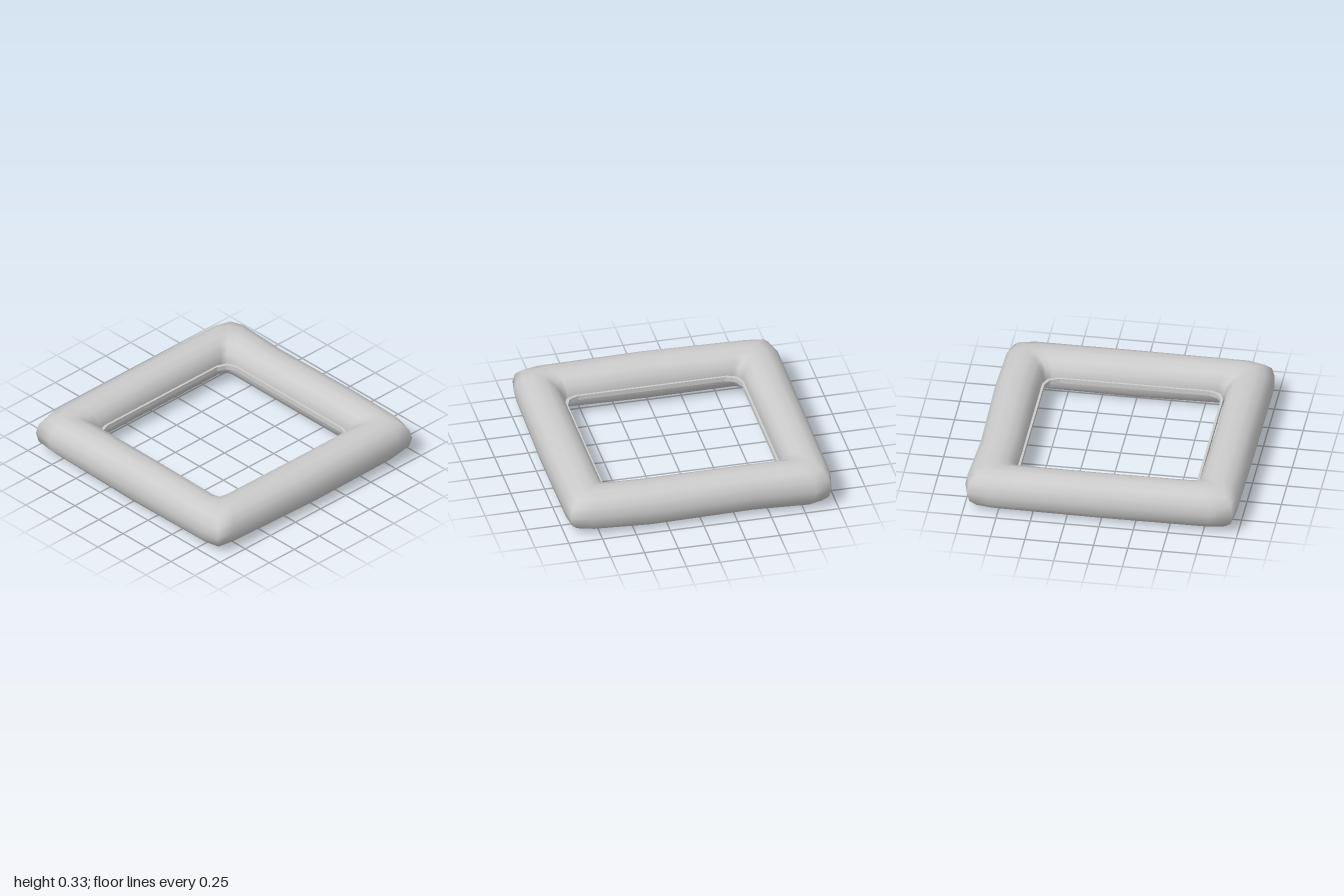
import * as THREE from 'three';

const material = new THREE.MeshStandardMaterial({ color: 0xcccccc });

// Skins a closed loop of closed cross-sections; each section is a list of [x, y, z].
function closedLoop(sections, flat) {
  const n = sections.length, m = sections[0].length;
  const index = [];
  for (let i = 0; i < n; i++) {
    for (let j = 0; j < m; j++) {
      const a = i * m + j, b = i * m + (j + 1) % m;
      const c = ((i + 1) % n) * m + j, d = ((i + 1) % n) * m + (j + 1) % m;
      index.push(a, b, c, b, d, c);
    }
  }
  let geometry = new THREE.BufferGeometry();
  geometry.setAttribute('position', new THREE.Float32BufferAttribute(sections.flat(2), 3));
  geometry.setIndex(index);
  if (flat) geometry = geometry.toNonIndexed();
  geometry.computeVertexNormals();
  return geometry;
}

// Padded frame: outer x, z, inner x, z, bottom and top of each section,
// running from the back left corner along the back and round.
const stations = [
  [-0.95, -0.97, -0.645, -0.64, 0.015, 0.33],
  [-0.83, -1.00, -0.61, -0.66, 0.01, 0.34],
  [-0.38, -0.975, -0.38, -0.655, 0.015, 0.335],
  [0.38, -0.99, 0.38, -0.66, 0.01, 0.335],
  [0.83, -0.975, 0.61, -0.655, 0.025, 0.335],
  [0.97, -0.94, 0.645, -0.635, 0.03, 0.325],
  [0.985, -0.80, 0.655, -0.60, 0.02, 0.335],
  [0.985, 0.00, 0.655, 0.00, 0.01, 0.335],
  [0.97, 0.83, 0.655, 0.60, 0.025, 0.335],
  [0.945, 0.97, 0.635, 0.65, 0.025, 0.325],
  [0.80, 0.995, 0.61, 0.67, 0.025, 0.33],
  [0.00, 0.99, 0.00, 0.675, 0.01, 0.345],
  [-0.80, 0.985, -0.61, 0.66, 0.025, 0.33],
  [-0.955, 0.965, -0.645, 0.64, 0.015, 0.33],
  [-0.99, 0.80, -0.67, 0.60, 0.02, 0.335],
  [-0.985, 0.00, -0.675, 0.00, 0.015, 0.335],
  [-0.98, -0.83, -0.67, -0.60, 0.02, 0.335],
];

function paddedSection([ox, oz, ix, iz, low, high], sides = 14) {
  const section = [];
  const round = (v) => Math.sign(v) * Math.abs(v) ** 0.92; // slightly fuller than an ellipse
  for (let j = 0; j < sides; j++) {
    const angle = (j / sides) * Math.PI * 2;
    const t = (1 + round(Math.cos(angle))) / 2;
    const y = (low + high) / 2 + round(Math.sin(angle)) * (high - low) / 2;
    section.push([ix + (ox - ix) * t, y, iz + (oz - iz) * t]);
  }
  return section;
}

// Thin inner band: a square outline with two-step chamfered corners.
function bandOutline(half) {
  const corner = [[half, half - 0.10], [half - 0.025, half - 0.04],
    [half - 0.04, half - 0.025], [half - 0.10, half]];
  const points = [];
  for (let k = 0; k < 4; k++) {
    const c = Math.round(Math.cos(k * Math.PI / 2)), s = Math.round(Math.sin(k * Math.PI / 2));
    for (const [x, z] of corner) points.push([x * c - z * s, x * s + z * c]);
  }
  return points;
}

export function createModel() {
  const model = new THREE.Group();
  model.name = 'squareFrame';

  const frame = new THREE.Mesh(closedLoop(stations.map((s) => paddedSection(s)), false), material);
  frame.name = 'paddedFrame';
  model.add(frame);

  const outer = bandOutline(0.66), inner = bandOutline(0.643);
  const low = 0.155, high = 0.19;
  const bandSections = outer.map(([x, z], i) => {
    const [u, v] = inner[i];
    return [[x, low, z], [x, high, z], [u, high, v], [u, low, v]];
  });
  const band = new THREE.Mesh(closedLoop(bandSections, true), material);
  band.name = 'innerBand';
  band.position.x = -0.006;
  model.add(band);

  return model;
}
